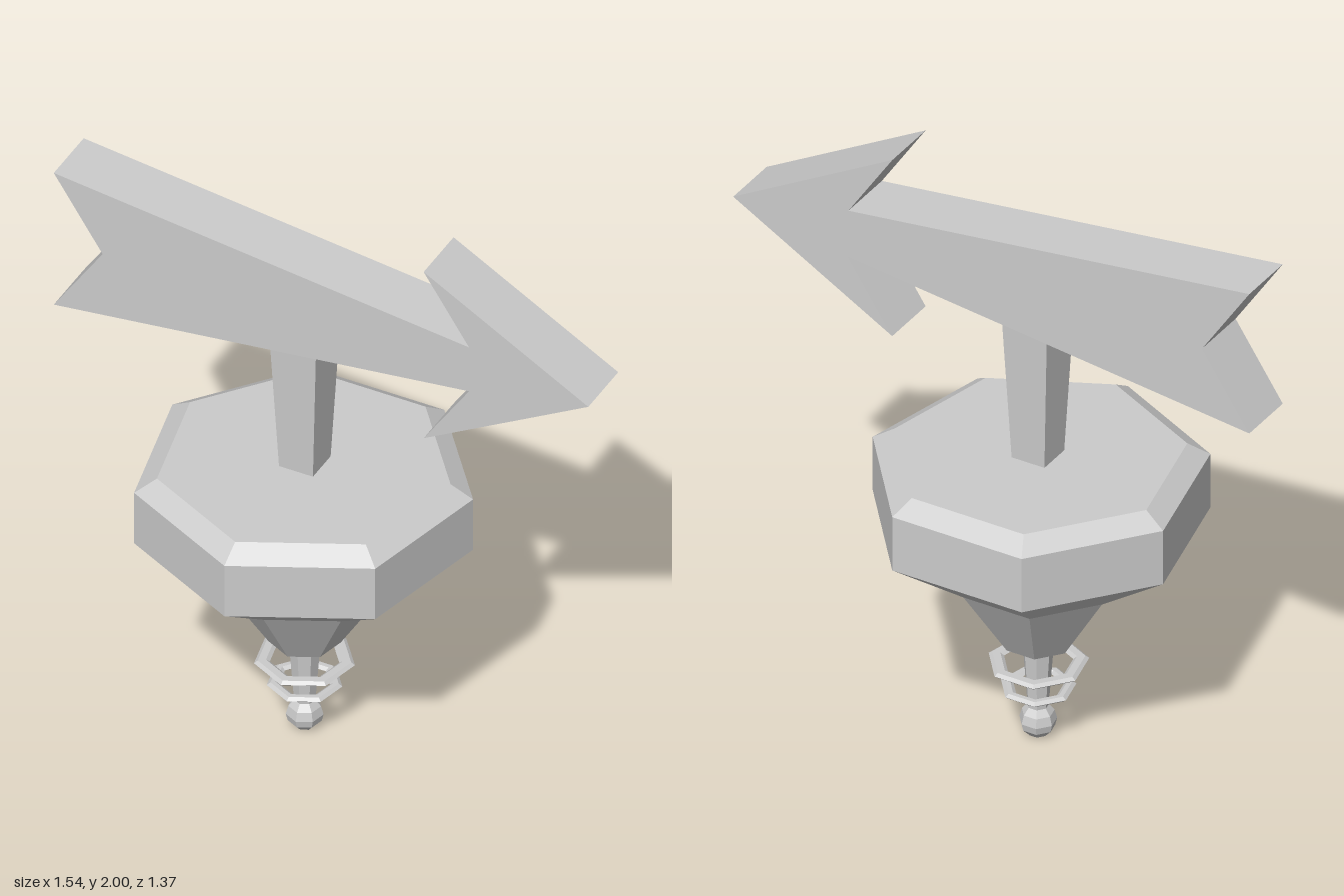
import * as THREE from 'three';

const SIDES = 7;
const AXIS = -0.08; // the column stands off-centre in x and z
const TURN = THREE.MathUtils.degToRad(40.8); // heading of the arrow

export function createModel() {
  const group = new THREE.Group();
  const material = new THREE.MeshStandardMaterial({ color: 0xcccccc, flatShading: true });

  const add = (name, geometry, x = 0, z = 0, turn = 0) => {
    const mesh = new THREE.Mesh(geometry, material);
    mesh.name = name;
    mesh.position.set(x, 0, z);
    mesh.rotation.y = turn;
    group.add(mesh);
  };

  // Seven-sided turned part; profile is [radius, y] listed from the bottom up
  const turned = (name, profile) => add(name, new THREE.LatheGeometry(
    profile.map(([r, y]) => new THREE.Vector2(r, y)),
    SIDES, THREE.MathUtils.degToRad(62), Math.PI * 2), AXIS, AXIS);

  // Faceted body with a bevelled top and a tapering underside
  turned('body', [
    [0, 0.35], [0.115, 0.35], [0.275, 0.6], [0.537, 0.79],
    [0.537, 0.985], [0.465, 1.03], [0, 1.03],
  ]);

  // Thin stem ending in a small ball
  turned('stem', [
    [0, 0.005], [0.03, 0.01], [0.054, 0.035], [0.06, 0.06],
    [0.052, 0.09], [0.034, 0.112], [0.052, 0.36],
  ]);

  // Flat open rings around the stem
  for (const [name, y, inner, outer] of [['upperRing', 0.27, 0.11, 0.16], ['lowerRing', 0.18, 0.08, 0.12]]) {
    const h = 0.009;
    turned(name, [
      [inner, y], [inner + 0.012, y - h], [outer - 0.012, y - h], [outer, y],
      [outer - 0.012, y + h], [inner + 0.012, y + h], [inner, y],
    ]);
  }

  // Square post, widening upward, aligned with the arrow
  const post = new THREE.CylinderGeometry(0.116, 0.083, 0.54, 4, 1, false, Math.PI / 4);
  post.translate(0, 1.29, 0);
  add('post', post, AXIS, AXIS, -TURN);

  // Thick arrow with a notched, flared tail
  const mid = 1.678;
  const half = [[-0.93, 0.255], [0.515, 0.085], [0.357, 0.322]];
  const outline = [
    [-0.76, 0],
    ...half.map(([u, v]) => [u, -v]),
    [0.93, 0],
    ...half.slice().reverse(),
  ].map(([u, v]) => new THREE.Vector2(u, mid + v));
  const arrow = new THREE.ExtrudeGeometry(new THREE.Shape(outline), { depth: 0.2, bevelEnabled: false });
  arrow.translate(0, 0, -0.1);
  add('arrow', arrow, 0, 0, -TURN);

  return group;
}
